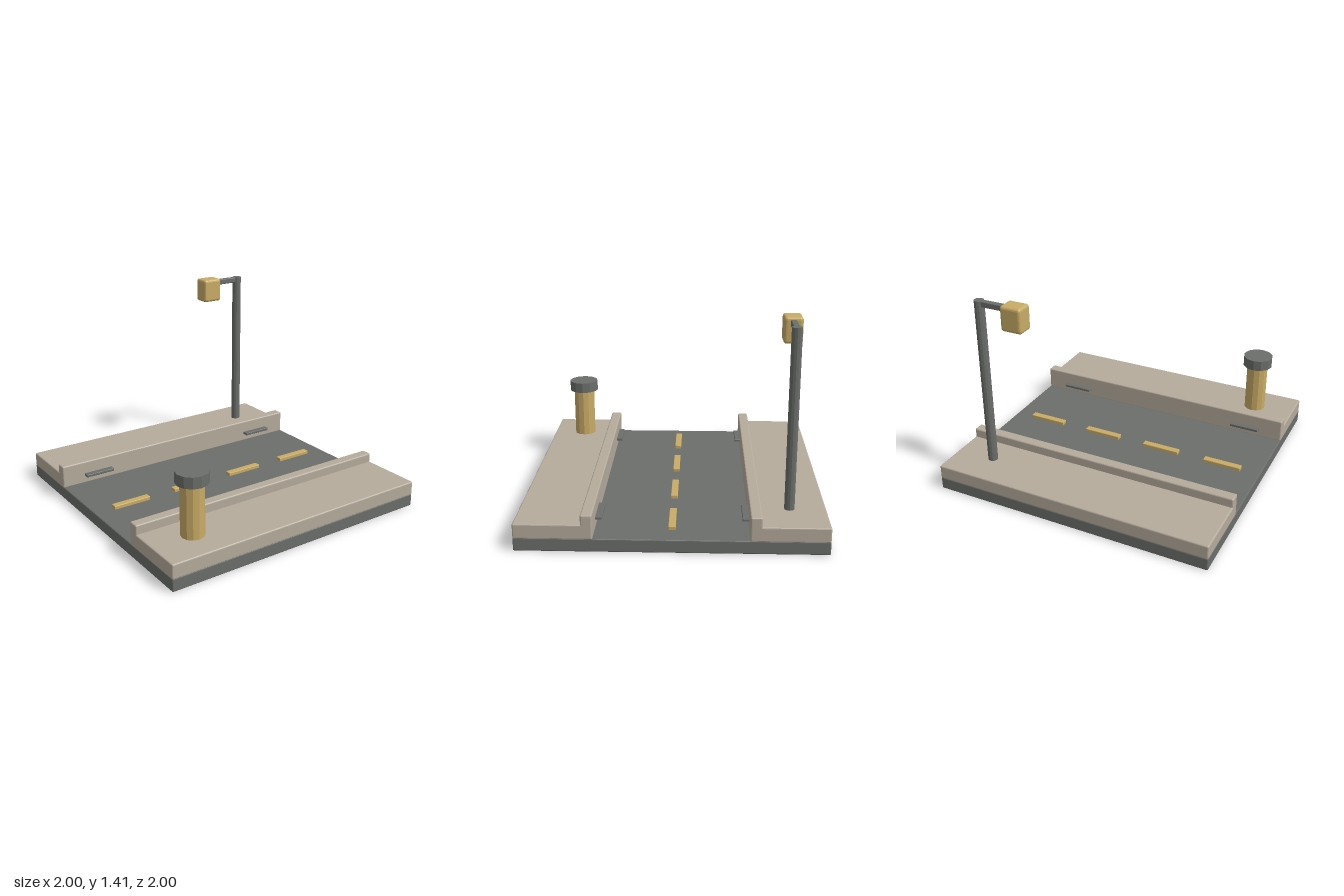
import * as THREE from 'three';
import { RoundedBoxGeometry } from 'three/addons/geometries/RoundedBoxGeometry.js';

export function createModel() {
  const model = new THREE.Group();
  model.name = 'streetTile';

  const mat = (name, color, flatShading = false) =>
    Object.assign(new THREE.MeshStandardMaterial({ color, flatShading }), { name });
  const asphalt = mat('asphaltGrey', 0x6b6e6b, true);
  const concrete = mat('concreteBeige', 0xb5ab9c, true);
  const yellow = mat('mutedYellow', 0xc8ab66, true);

  const add = (name, geometry, material, x, y, z) => {
    const mesh = new THREE.Mesh(geometry, material);
    mesh.name = name;
    mesh.position.set(x, y, z);
    model.add(mesh);
    return mesh;
  };
  // Bevelled box given by its minimum and maximum corners
  const box = (name, material, [x0, y0, z0], [x1, y1, z1], bevel) =>
    add(name, new RoundedBoxGeometry(x1 - x0, y1 - y0, z1 - z0, 2, bevel), material,
      (x0 + x1) / 2, (y0 + y1) / 2, (z0 + z1) / 2);
  // Upright faceted cylinder standing on y0
  const post = (name, material, r, y0, y1, x, z, sides = 12) =>
    add(name, new THREE.CylinderGeometry(r, r, y1 - y0, sides), material, x, (y0 + y1) / 2, z);

  // Road slab
  box('roadBase', asphalt, [-1, 0, -1], [1, 0.09, 1], 0.008);

  // Pavement, kerb and drains on both sides
  for (const s of [-1, 1]) {
    const strip = (name, material, x0, x1, y0, y1, z0, z1, bevel) =>
      box(name, material, [x0, y0, Math.min(s * z0, s * z1)], [x1, y1, Math.max(s * z0, s * z1)], bevel);
    strip('sidewalk', concrete, -1, 1, 0.083, 0.185, 0.52, 1, 0.01);
    strip('curb', concrete, -1, 1, 0.083, 0.25, 0.495, 0.57, 0.01);
    for (const x of [-0.72, 0.72])
      strip('drain', asphalt, x - 0.11, x + 0.11, 0.14, 0.16, 0.453, 0.51, 0.004);
  }

  // Dashed centre line
  for (const x of [-0.72, -0.24, 0.24, 0.72])
    box('laneDash', yellow, [x - 0.14, 0.085, -0.024], [x + 0.14, 0.115, 0.024], 0.005);

  // Bollard
  post('bollardBody', yellow, 0.079, 0.18, 0.55, -0.703, 0.76);
  post('bollardCap', asphalt, 0.109, 0.545, 0.622, -0.703, 0.76);

  // Street lamp
  post('lampPole', asphalt, 0.034, 0.18, 1.393, 0.718, -0.76);
  box('lampArm', asphalt, [0.48, 1.353, -0.78], [0.72, 1.393, -0.74], 0.006);
  box('lampHead', yellow, [0.372, 1.235, -0.823], [0.525, 1.41, -0.7], 0.02);

  return model;
}
